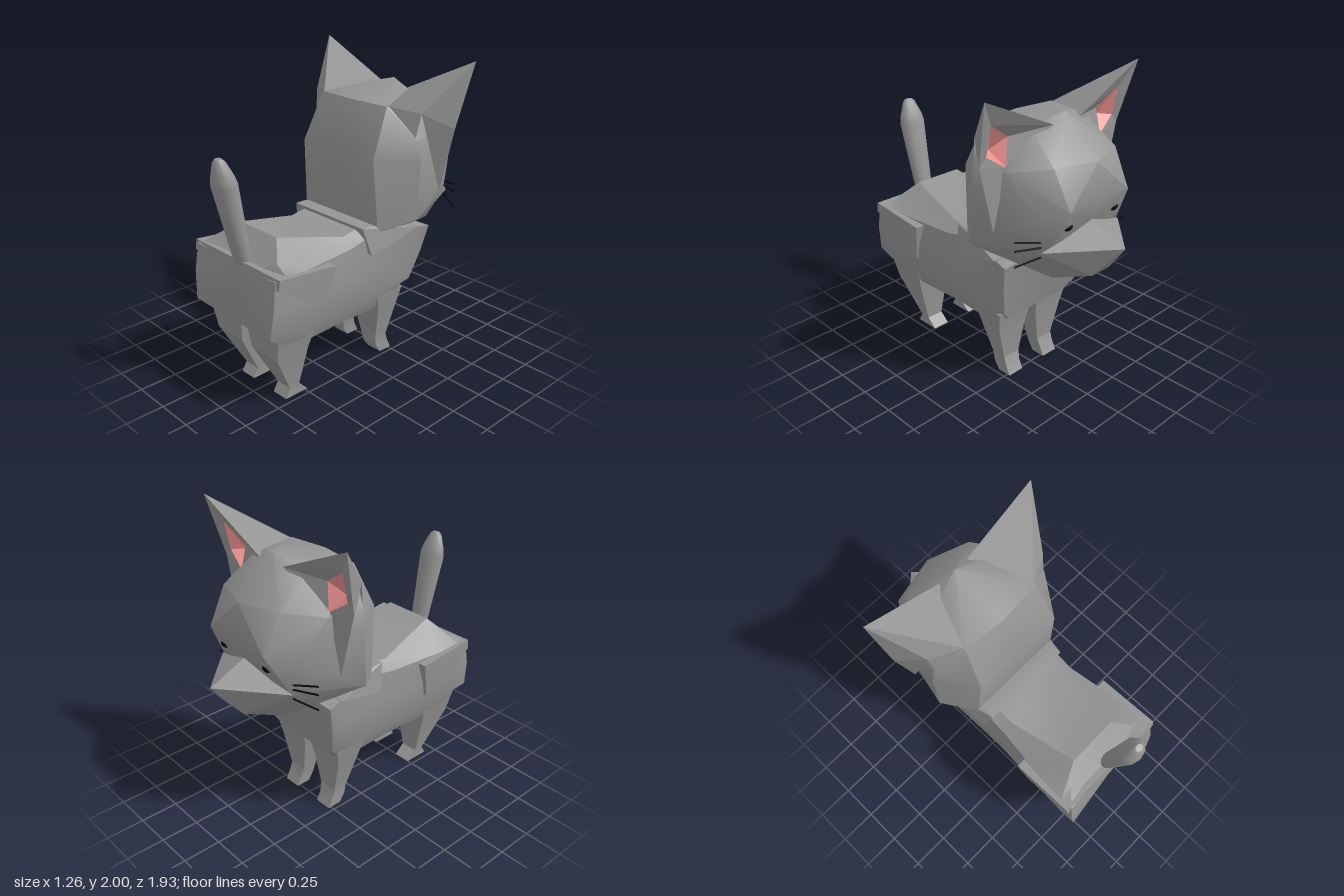
import * as THREE from 'three';
import { toCreasedNormals } from 'three/addons/utils/BufferGeometryUtils.js';
import { ConvexGeometry } from 'three/addons/geometries/ConvexGeometry.js';

const fur = new THREE.MeshStandardMaterial({ color: 0x949494 });
const furThin = new THREE.MeshStandardMaterial({ color: 0x949494, side: THREE.DoubleSide });
const pink = new THREE.MeshStandardMaterial({ color: 0xee9090, side: THREE.DoubleSide });
const black = new THREE.MeshStandardMaterial({ color: 0x080808 });

const V = (x, y, z) => new THREE.Vector3(x, y, z);

function add(parent, name, geometry, material = fur) {
  const mesh = new THREE.Mesh(geometry, material);
  mesh.name = name;
  parent.add(mesh);
  return mesh;
}

// Faceted solid around points given for one side and mirrored in x
function mirroredHull(points, crease) {
  const all = [];
  for (const [x, y, z] of points) {
    all.push(V(x, y, z));
    if (x > 0) all.push(V(-x, y, z));
  }
  return toCreasedNormals(new ConvexGeometry(all), crease);
}

// Closed skin through rings of points, wound outward whatever the ring order
function loft(rings, crease) {
  const n = rings[0].length, tris = [];
  for (let r = 0; r < rings.length - 1; r++) {
    for (let i = 0; i < n; i++) {
      const j = (i + 1) % n, p = rings[r], q = rings[r + 1];
      tris.push([p[i], p[j], q[j]], [p[i], q[j], q[i]]);
    }
  }
  const first = rings[0], last = rings[rings.length - 1];
  for (let i = 1; i < n - 1; i++) {
    tris.push([first[0], first[i + 1], first[i]], [last[0], last[i], last[i + 1]]);
  }
  const volume = tris.reduce((s, [a, b, c]) => s + a.dot(b.clone().cross(c)), 0);
  if (volume < 0) tris.forEach(t => t.reverse());
  return toCreasedNormals(new THREE.BufferGeometry().setFromPoints(tris.flat()), crease);
}

const faces = (...tris) => {
  const g = new THREE.BufferGeometry().setFromPoints(tris.flat());
  g.computeVertexNormals();
  return g;
};

function buildBody(cat) {
  // Half sections from spine to belly, [x, y, z]
  const sections = [
    [[0.12, 0.9, 0.83], [0.37, 0.93, 0.84], [0.38, 0.75, 0.865], [0.36, 0.57, 0.88], [0.24, 0.51, 0.82]],
    [[0.28, 0.98, 0.75], [0.38, 0.93, 0.76], [0.385, 0.75, 0.76], [0.36, 0.56, 0.76], [0.3, 0.43, 0.69]],
    [[0.17, 1.08, 0.66], [0.36, 0.92, 0.58], [0.37, 0.75, 0.58], [0.35, 0.55, 0.58], [0.3, 0.42, 0.58]],
    [[0.24, 0.97, 0.2], [0.31, 0.91, 0.2], [0.33, 0.73, 0.2], [0.32, 0.52, 0.2], [0.26, 0.4, 0.2]],
    [[0.24, 1.0, 0.02], [0.31, 0.95, 0.02], [0.33, 0.75, 0.0], [0.32, 0.52, 0.0], [0.26, 0.39, -0.06]],
    [[0.25, 0.94, -0.32], [0.38, 0.93, -0.32], [0.36, 0.75, -0.28], [0.33, 0.54, -0.24], [0.27, 0.42, -0.22]],
    [[0.25, 0.92, -0.4], [0.4, 0.92, -0.41], [0.37, 0.74, -0.37], [0.32, 0.54, -0.325], [0.24, 0.46, -0.28]],
  ];
  const rings = sections.map(half => [
    ...half.map(p => V(...p)),
    ...half.slice().reverse().map(([x, y, z]) => V(-x, y, z)),
  ]);
  add(cat, 'body', loft(rings, 0.6));

  // Angular hips and shoulders standing proud of the flanks
  add(cat, 'haunches', mirroredHull([
    [0.4, 0.945, 0.83], [0.4, 0.9, 0.41], [0.37, 0.645, 0.47], [0.4, 0.88, 0.84], [0.1, 0.8, 0.6],
  ], 0.2));
  add(cat, 'shoulders', mirroredHull([
    [0.31, 1.01, 0.1], [0.31, 1.01, 0.03], [0.35, 0.835, 0.06], [0.4, 0.94, -0.32], [0.2, 0.8, -0.2],
  ], 0.2));

  // Tail, thicker toward its rounded tip
  const profile = [[0, 0], [0.06, 0], [0.065, 0.08], [0.09, 0.52], [0.08, 0.57], [0.045, 0.66], [0.025, 0.68], [0, 0.68]];
  const tailShape = new THREE.LatheGeometry(profile.map(p => new THREE.Vector2(...p)), 10);
  const tail = add(cat, 'tail', toCreasedNormals(tailShape, 0.7));
  tail.position.set(0.02, 0.91, 0.79);
  tail.rotation.x = 0.205;
  tail.scale.z = 0.78;
}

function buildLegs(cat) {
  // Each level: [y, inner x, outer x, back z, front z]
  const levels = {
    hindLeg: [
      [0.56, 0.02, 0.34, 0.8, 0.5], [0.36, 0.05, 0.29, 0.78, 0.54],
      [0.07, 0.1, 0.22, 0.63, 0.56], [0.01, 0.1, 0.22, 0.665, 0.49],
    ],
    frontLeg: [
      [0.5, 0.02, 0.31, -0.04, -0.27], [0.35, 0.05, 0.28, -0.08, -0.24],
      [0.12, 0.09, 0.22, -0.12, -0.22], [0.06, 0.1, 0.22, -0.13, -0.24], [0, 0.1, 0.22, -0.17, -0.27],
    ],
  };
  for (const [name, rows] of Object.entries(levels)) {
    for (const s of [-1, 1]) {
      const rings = rows.map(([y, a, b, zb, zf]) =>
        [V(s * a, y, zb), V(s * b, y, zb), V(s * b, y, zf), V(s * a, y, zf)]);
      add(cat, name, loft(rings, 0.3));
    }
  }
}

function buildEar(head, s) {
  const tip = V(s * 0.63, 2, -0.5), inner = V(s * 0.11, 1.76, -0.5), back = V(s * 0.28, 1.73, -0.13);
  const notch = V(s * 0.44, 1.53, -0.2), rear = V(s * 0.46, 1.7, -0.23);
  const side = V(s * 0.58, 1.6, -0.4), low = V(s * 0.48, 1.18, -0.4), root = V(s * 0.4, 1.56, -0.42);
  const ear = new THREE.Group();
  ear.name = 'ear';
  head.add(ear);
  add(ear, 'earShell', faces(
    [tip, inner, back], [tip, back, rear], [back, notch, rear],
    [tip, rear, side], [rear, low, side], [side, low, root],
  ), furThin);
  // Front rim sloping in to a narrow pink fold
  const lipInner = V(s * 0.37, 1.73, -0.4), lipTip = V(s * 0.53, 1.84, -0.44), lipSide = V(s * 0.53, 1.65, -0.4);
  add(ear, 'earRim', faces(
    [inner, tip, lipTip], [inner, lipTip, lipInner], [tip, side, lipSide], [tip, lipSide, lipTip],
    [side, root, lipSide], [inner, lipInner, root],
  ), furThin);
  const fold = V(s * 0.46, 1.66, -0.34);
  add(ear, 'innerEar', faces(
    [lipInner, lipTip, fold], [lipTip, lipSide, fold], [lipSide, root, fold], [root, lipInner, fold],
  ), pink);
}

function buildHead(cat) {
  const head = new THREE.Group();
  head.name = 'head';
  cat.add(head);

  add(head, 'skull', mirroredHull([
    // back of the head
    [0, 1.735, -0.09], [0.28, 1.73, -0.12], [0.31, 1.43, 0.02], [0, 1.43, 0.03], [0.33, 0.96, -0.01],
    // crown and brow
    [0, 1.81, -0.48], [0.22, 1.75, -0.42], [0, 1.58, -0.74], [0.26, 1.58, -0.65], [0.42, 1.54, -0.44],
    // temples and cheeks
    [0.35, 1.69, -0.22], [0.455, 1.54, -0.21], [0.475, 1.4, -0.22], [0.48, 1.04, -0.2],
    [0.44, 1.2, -0.45], [0.36, 1.3, -0.62],
    // face and jaw
    [0.25, 1.35, -0.77], [0, 1.36, -0.775], [0.32, 1.09, -0.64], [0, 1.2, -0.71],
    [0.3, 0.93, -0.5], [0.14, 0.82, -0.54], [0.14, 0.82, -0.4],
  ], 0.65));
  add(head, 'muzzle', mirroredHull([
    [0, 1.225, -0.71], [0.34, 1.09, -0.64], [0, 1.115, -0.965], [0.08, 0.91, -0.8],
    [0.14, 0.82, -0.55], [0.28, 0.93, -0.5],
  ], 0.2));

  for (const s of [-1, 1]) {
    buildEar(head, s);

    const eye = add(head, 'eye', new THREE.SphereGeometry(0.04, 12, 8), black);
    eye.position.set(s * 0.2, 1.235, -0.7);
    eye.scale.set(1, 0.75, 0.8);

    // Three whiskers fanning out from each cheek
    for (const [y0, y1] of [[1.15, 1.18], [1.12, 1.125], [1.06, 1.025]]) {
      const path = new THREE.LineCurve3(V(s * 0.33, y0, -0.63), V(s * 0.48, y1, -0.565));
      add(head, 'whisker', new THREE.TubeGeometry(path, 1, 0.006, 5), black);
    }
  }
}

export function createModel() {
  const cat = new THREE.Group();
  cat.name = 'cat';
  buildBody(cat);
  buildLegs(cat);
  buildHead(cat);
  return cat;
}
